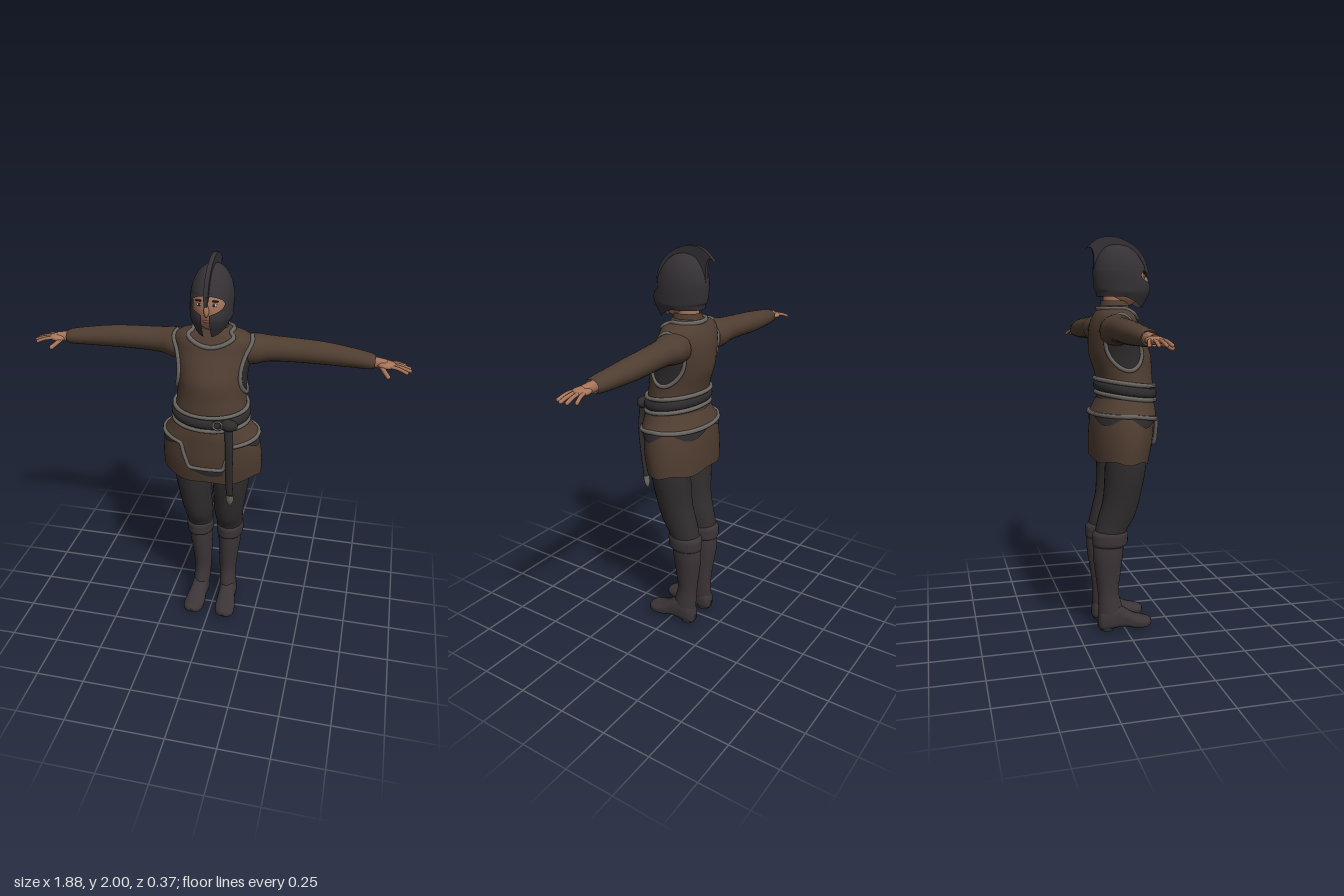
import * as THREE from 'three';

const mat = (name, color) => {
  const m = new THREE.MeshStandardMaterial({ color, side: THREE.DoubleSide });
  m.name = name;
  return m;
};
const V = (x, y, z) => new THREE.Vector3(x, y, z);

// Smoothly interpolates a table of rows [key, a, b, ...] at key t
function sample(rows, t) {
  const n = rows.length - 1, dir = rows[n][0] > rows[0][0] ? 1 : -1;
  let i = 0;
  while (i < n - 1 && (t - rows[i + 1][0]) * dir > 0) i++;
  const p = rows[i], q = rows[i + 1], h = q[0] - p[0];
  const s = THREE.MathUtils.clamp((t - p[0]) / h, 0, 1), s2 = s * s, s3 = s2 * s;
  const slope = (j, k) => {
    const a = rows[Math.max(0, j - 1)], b = rows[Math.min(n, j + 1)];
    return (b[k] - a[k]) / (b[0] - a[0]);
  };
  return p.slice(1).map((_, c) => {
    const k = c + 1;
    return p[k] * (2 * s3 - 3 * s2 + 1) + q[k] * (3 * s2 - 2 * s3)
      + h * (slope(i, k) * (s3 - 2 * s2 + s) + slope(i + 1, k) * (s3 - s2));
  });
}

// Grid surface from fn(u, v), optionally wrapped around in u
function surface(fn, nu, nv, wrap = true) {
  const pos = [], idx = [], cols = wrap ? nu : nu + 1;
  for (let j = 0; j <= nv; j++)
    for (let i = 0; i < cols; i++) pos.push(...fn(i / nu, j / nv).toArray());
  for (let j = 0; j < nv; j++)
    for (let i = 0; i < nu; i++) {
      const a = j * cols + i, b = j * cols + (i + 1) % cols;
      idx.push(a, b, a + cols, b, b + cols, a + cols);
    }
  const g = new THREE.BufferGeometry();
  g.setAttribute('position', new THREE.Float32BufferAttribute(pos, 3));
  g.setIndex(idx);
  g.computeVertexNormals();
  return g;
}

// Point on a body with rows [y, half width, front z, back z]; angle 0 faces the front
function bodyPoint(rows, th, y, out = 0) {
  const [rx, zf, zb] = sample(rows, y);
  return V((rx + out) * Math.sin(th), y, (zf + zb) / 2 + ((zf - zb) / 2 + out) * Math.cos(th));
}
// Limb with rows [y, x, z, half width, half depth]
const limb = (rows, nv = 24) => surface((u, v) => {
  const y = THREE.MathUtils.lerp(rows[0][0], rows[rows.length - 1][0], v), a = u * 2 * Math.PI;
  const [x, z, rx, rz] = sample(rows, y);
  return V(x + rx * Math.sin(a), y, z + rz * Math.cos(a));
}, 28, nv);
const loop = (fn, r, n = 48) => new THREE.TubeGeometry(new THREE.CatmullRomCurve3(
  Array.from({ length: n }, (_, i) => fn(i / n * 2 * Math.PI)), true), n * 2, r, 6, true);
const tube = (pts, r) => new THREE.TubeGeometry(new THREE.CatmullRomCurve3(pts), 12, r, 8);

const TORSO = [[1.67, .065, .035, -.1], [1.65, .1, .045, -.115], [1.63, .17, .055, -.13], [1.6, .195, .07, -.145],
  [1.55, .188, .09, -.16], [1.48, .175, .125, -.165], [1.42, .168, .15, -.16], [1.34, .17, .155, -.135],
  [1.27, .178, .16, -.12], [1.18, .185, .163, -.12]];
const SKIRT = [[1.22, .18, .16, -.12], [1.16, .21, .166, -.14], [1.12, .235, .163, -.153], [1, .255, .152, -.163], [.86, .252, .125, -.163]];
const HELMET = [[1.965, .004, -.015, -.025], [1.955, .035, .03, -.07], [1.93, .065, .07, -.1], [1.89, .088, .102, -.125],
  [1.84, .1, .127, -.14], [1.8, .102, .138, -.14], [1.75, .1, .15, -.135], [1.71, .098, .138, -.125], [1.65, .088, .105, -.12]];

export function createModel() {
  const model = new THREE.Group();
  const cloth = mat('brown tunic', 0x4f3d31), trim = mat('grey trim', 0x6b6661), leather = mat('dark leather', 0x2e2b2d);
  const skin = mat('skin', 0xa8755a), pants = mat('charcoal trousers', 0x312d2e), boots = mat('boot leather', 0x3c3538);
  const steel = mat('dark helmet metal', 0x353135), white = mat('eye white', 0xd8d2cc), lips = mat('lips', 0x8a5548);
  const add = (name, geo, m, parent = model) => {
    const mesh = new THREE.Mesh(geo, m);
    mesh.name = name;
    parent.add(mesh);
    return mesh;
  };
  const ball = (name, m, p, s, parent = model) => {
    const b = add(name, new THREE.SphereGeometry(1, 24, 18), m, parent);
    b.position.set(...p);
    b.scale.set(...s);
    return b;
  };
  const TAU = 2 * Math.PI, lerp = THREE.MathUtils.lerp;

  // Torso, collar and neckline
  add('tunicBody', surface((u, v) => bodyPoint(TORSO, u * TAU, lerp(1.67, 1.18, v)), 56, 40), cloth);
  add('collar', limb([[1.62, 0, -.035, .08, .078], [1.66, 0, -.033, .074, .073], [1.69, 0, -.033, .064, .068]], 8), cloth);
  add('neck', limb([[1.62, 0, -.03, .055, .06], [1.76, 0, -.025, .055, .065]], 6), skin);
  add('neckTrim', loop(a => bodyPoint(TORSO, a, 1.652 - .062 * Math.max(0, Math.cos(a)) ** 4, .003), .011), trim);

  // Skirt with a longer front flap
  const hem = a => .905 - .03 * Math.max(0, Math.cos(a)) ** 2 + .008 * Math.cos(6 * a);
  const flapEdge = a => {
    const t = Math.abs(Math.atan2(Math.sin(a), Math.cos(a)));
    if (t < .53) return lerp(.975, 1.11, THREE.MathUtils.clamp((t - .32) / .21, 0, 1));
    return 1.11 + .025 * Math.min(1, t - .53);
  };
  add('skirt', surface((u, v) => bodyPoint(SKIRT, u * TAU, lerp(1.21, hem(u * TAU), v)), 72, 20), cloth);
  add('skirtFlap', surface((u, v) => bodyPoint(SKIRT, u * TAU, lerp(1.21, flapEdge(u * TAU), v), .012 * v), 120, 14), cloth);
  add('flapTrim', loop(a => bodyPoint(SKIRT, a, flapEdge(a), .012), .011, 96), trim);
  add('flapUnderlayer', surface((u, v) => {
    const a = u * TAU, drop = .03 + .02 * Math.sin(5 * a + 1);
    return bodyPoint(SKIRT, a, flapEdge(a) - drop * v, .005);
  }, 120, 4), leather);

  // Belt, higher at the back, with edge trims and a hanging end
  const tilt = a => .02 - .02 * Math.cos(a);
  add('belt', surface((u, v) => bodyPoint(TORSO, u * TAU, lerp(1.252, 1.205, v) + tilt(u * TAU), .004 + .014 * Math.sin(v * Math.PI) ** .5), 56, 10), leather);
  [1.265, 1.195].forEach(y => add('beltTrim', loop(a => bodyPoint(TORSO, a, y + tilt(a), .007), .011), trim));
  const strap = new THREE.Group();
  strap.name = 'beltEnd';
  model.add(strap);
  const hang = [[1.24, .115, .155, .022, .012], [1.1, .122, .168, .02, .01], [.95, .12, .158, .019, .009], [.83, .122, .142, .018, .009]];
  add('hangingStrap', limb(hang, 16), leather, strap);
  add('strapTip', limb([[.83, .122, .142, .02, .011], [.79, .122, .136, .018, .011], [.765, .122, .132, .004, .004]], 6), trim, strap);
  ball('beltKnot', leather, [.115, 1.23, .152], [.045, .03, .03], strap);
  add('buckle', new THREE.TorusGeometry(.022, .005, 6, 16), trim, strap).position.set(.065, 1.232, .172);

  // Helmet shell with a T-shaped face opening
  const shell = surface((u, v) => {
    const y = lerp(1.965, 1.65, v), [rx, zf, zb] = sample(HELMET, y);
    const eye = .078 * Math.sqrt(Math.max(0, 1 - ((y - 1.81) / .04) ** 2));
    const w = y < 1.81 ? Math.max(eye, .019) : eye;
    const start = Math.asin(Math.min(.9, w / rx)), a = lerp(start, TAU - start, u);
    const k = .35 + .65 * Math.max(0, Math.cos(a)) ** 1.5;
    const yy = y < 1.74 ? 1.74 - (1.74 - y) * k : y;
    return V(rx * Math.sin(a), yy, (zf + zb) / 2 + (zf - zb) / 2 * Math.cos(a));
  }, 56, 64, false);
  add('helmetShell', shell, steel);
  const crestShape = new THREE.Shape();
  crestShape.moveTo(.128, 1.83);
  crestShape.lineTo(.142, 1.83);
  crestShape.splineThru([[.118, 1.9], [.07, 1.955], [0, 1.99], [-.06, 2], [-.125, 1.985], [-.183, 1.935]].map(p => new THREE.Vector2(...p)));
  crestShape.splineThru([[-.155, 1.947], [-.138, 1.91], [-.14, 1.84]].map(p => new THREE.Vector2(...p)));
  crestShape.lineTo(-.1, 1.86);
  crestShape.lineTo(0, 1.93);
  crestShape.lineTo(.09, 1.88);
  const crest = new THREE.ExtrudeGeometry(crestShape, { depth: .022, bevelEnabled: false, curveSegments: 24 });
  crest.translate(0, 0, -.011).rotateY(-Math.PI / 2);
  add('helmetCrest', crest, steel);
  add('noseGuard', new THREE.BoxGeometry(.016, .045, .008), steel).position.set(0, 1.828, .136);

  // Face
  ball('head', skin, [0, 1.79, .01], [.088, .13, .112]);
  ball('nose', skin, [0, 1.782, .122], [.012, .03, .02]);
  ball('mouth', lips, [0, 1.727, .107], [.018, .007, .005]);

  for (const side of [1, -1]) {
    const half = new THREE.Group();
    half.name = side > 0 ? 'leftSide' : 'rightSide';
    half.scale.x = side;
    model.add(half);

    // Eye
    ball('eyeWhite', white, [.034, 1.808, .111], [.014, .008, .005], half);
    ball('iris', leather, [.034, 1.808, .1145], [.006, .007, .003], half);
    ball('eyebrow', leather, [.036, 1.826, .109], [.02, .004, .005], half);

    // Armhole panel and its trim
    const armhole = (r, f, out) => bodyPoint(TORSO, 1.62 + .6 * r * Math.cos(f), 1.488 + .135 * r * Math.sin(f), out);
    add('sidePanel', surface((u, v) => armhole(v, u * TAU, .004), 36, 8), leather, half);
    add('armholeTrim', loop(a => armhole(1, a, .004), .011, 32), trim, half);

    // Sleeve
    const SLEEVE = [[.13, 1.545, -.06, .075, .08], [.2, 1.55, -.065, .073, .085], [.27, 1.553, -.075, .062, .07], [.4, 1.55, -.085, .057, .063],
      [.52, 1.545, -.09, .054, .06], [.65, 1.537, -.085, .046, .052], [.75, 1.53, -.076, .037, .044], [.768, 1.529, -.075, .03, .036]];
    add('sleeve', surface((u, v) => {
      const x = lerp(.13, .768, v), [y, z, ry, rz] = sample(SLEEVE, x);
      return V(x, y + ry * Math.cos(u * TAU), z + rz * Math.sin(u * TAU));
    }, 28, 36), cloth, half);

    // Hand
    add('wrist', tube([V(.74, 1.53, -.075), V(.78, 1.527, -.073), V(.82, 1.522, -.068)], .026), skin, half);
    ball('palm', skin, [.82, 1.522, -.067], [.045, .018, .041], half);
    [[.915, -.025], [.93, -.052], [.927, -.083], [.905, -.115]].forEach(([x, z], i) => {
      const base = V(.835, 1.524, -.04 - .018 * i), tip = V(x, 1.506, z);
      add('finger', tube([base, base.clone().lerp(tip, .5).add(V(0, .005, 0)), tip], .0085), skin, half);
      ball('fingertip', skin, tip.toArray(), [.0085, .0085, .0085], half);
    });
    add('thumb', tube([V(.795, 1.52, -.05), V(.815, 1.503, -.02), V(.832, 1.49, .002)], .011), skin, half);
    ball('thumbTip', skin, [.832, 1.49, .002], [.011, .011, .011], half);

    // Leg
    add('trouserLeg', limb([[1, .1, 0, .09, .1], [.88, .101, 0, .096, .105], [.7, .09, -.019, .083, .095],
      [.6, .083, -.045, .075, .094], [.53, .083, -.073, .068, .082], [.45, .083, -.08, .062, .075]]), pants, half);
    add('bootCuff', limb([[.45, .083, -.08, .06, .076], [.46, .083, -.079, .07, .09], [.49, .084, -.078, .073, .093],
      [.52, .084, -.077, .072, .092], [.535, .084, -.076, .062, .078]], 14), boots, half);
    add('bootShaft', limb([[.48, .082, -.085, .063, .079], [.4, .08, -.088, .061, .078], [.3, .075, -.087, .053, .066],
      [.2, .072, -.085, .046, .055], [.12, .076, -.075, .046, .063], [.06, .08, -.068, .044, .068]]), boots, half);
    // Foot from cross-sections [z, x, half width, bottom, top]
    const FOOT = [[-.143, .08, .006, .025, .05], [-.135, .08, .03, .008, .09], [-.1, .08, .043, .004, .125], [-.04, .081, .046, .01, .135],
      [0, .083, .047, .013, .11], [.05, .087, .054, .006, .078], [.1, .09, .052, .006, .062], [.13, .09, .036, .014, .052], [.142, .09, .005, .028, .04]];
    add('bootFoot', surface((u, v) => {
      const z = lerp(-.143, .142, v), [x, w, b, t] = sample(FOOT, z), c = Math.cos(u * TAU), s = Math.sin(u * TAU);
      const y = (b + t) / 2 + (t - b) / 2 * (s < 0 ? -(Math.abs(s) ** .5) : s);
      return V(x + w * Math.sign(c) * Math.abs(c) ** .8, y, z);
    }, 28, 32), boots, half);
    const heel = add('bootHeel', new THREE.CylinderGeometry(.038, .036, .02, 20), leather, half);
    heel.position.set(.08, .01, -.095);
  }
  return model;
}
